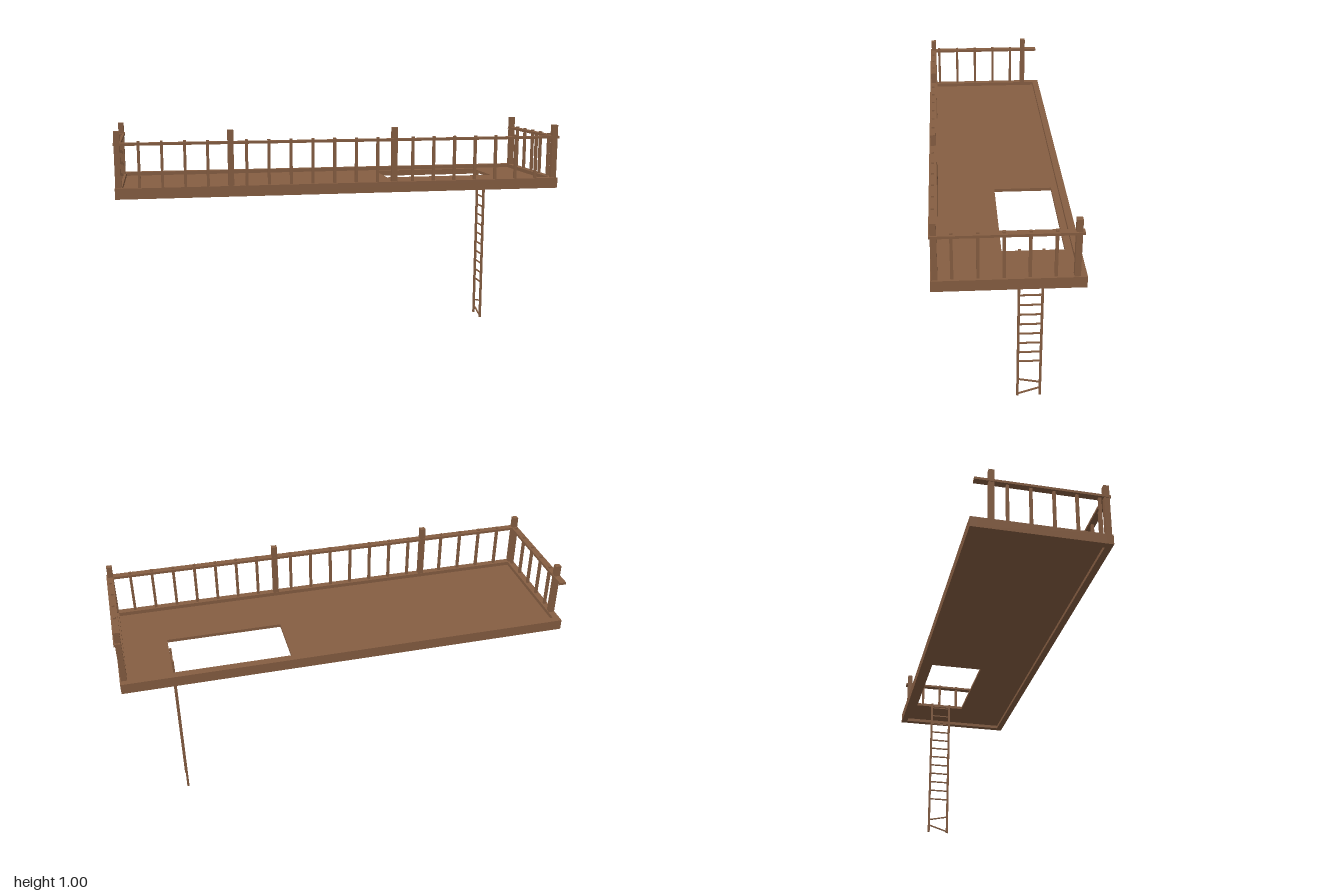
import * as THREE from 'three';

export function createModel() {
  const model = new THREE.Group();
  model.name = 'loftDeck';
  const wood = new THREE.MeshStandardMaterial({ color: 0x865e42 });
  wood.name = 'brown wood';

  const group = (name) => {
    const g = new THREE.Group();
    g.name = name;
    model.add(g);
    return g;
  };
  // Box given by its lower and upper bounds on each axis
  const box = (parent, name, [x0, x1], [y0, y1], [z0, z1]) => {
    const mesh = new THREE.Mesh(new THREE.BoxGeometry(x1 - x0, y1 - y0, z1 - z0), wood);
    mesh.name = name;
    mesh.position.set((x0 + x1) / 2, (y0 + y1) / 2, (z0 + z1) / 2);
    parent.add(mesh);
    return mesh;
  };
  const around = (c, w) => [c - w / 2, c + w / 2];

  const W = 1, D = 0.295, T = 0.03;   // half width, half depth, board thickness
  const Y0 = 0.71, Y1 = 0.757;        // frame bottom and top

  // Frame boards around the deck
  const frame = group('frame');
  box(frame, 'frontBoard', [-W, W], [Y0, Y1], [D - T, D]);
  box(frame, 'backBoard', [-W, W], [Y0, Y1], [-D, -D + T]);
  for (const s of [-1, 1]) {
    box(frame, 'sideBoard', around(s * (W - T / 2), T), [Y0, Y1], [-D + T, D - T]);
  }

  // Floor with the hatch opening (shape y becomes -z)
  const rect = (path, x0, x1, z0, z1) =>
    path.moveTo(x0, -z0).lineTo(x0, -z1).lineTo(x1, -z1).lineTo(x1, -z0).closePath();
  const shape = new THREE.Shape();
  rect(shape, -W + T, W - T, -D + T, D - T);
  const hatch = new THREE.Path();
  rect(hatch, 0.257, 0.775, -0.237, 0.015);
  shape.holes.push(hatch);
  const floorGeometry = new THREE.ExtrudeGeometry(shape, { depth: 0.014, bevelEnabled: false });
  floorGeometry.rotateX(-Math.PI / 2);
  const floor = new THREE.Mesh(floorGeometry, wood);
  floor.name = 'floor';
  floor.position.y = 0.726;
  model.add(floor);

  // Railing posts
  const railing = group('railing');
  const posts = [[-0.985, 0.278], [-0.505, 0.278], [0.225, 0.278], [0.982, 0.278],
    [-0.985, -0.207], [0.982, -0.257]];
  for (const [x, z] of posts) {
    box(railing, 'post', around(x, 0.025), [Y1 - 0.02, 1], around(z, 0.024));
  }

  // Flat hand rails
  const railY = [0.939, 0.95];
  box(railing, 'frontRail', [-W, W], railY, [D - T, D]);
  for (const s of [-1, 1]) {
    box(railing, 'sideRail', around(s * (W - T / 2), T), railY, [-0.278, D - T]);
  }

  // Balusters in evenly spaced runs
  const baluster = (x, z) =>
    box(railing, 'baluster', around(x, 0.012), [Y1 - 0.01, 0.957], around(z, 0.012));
  const step = 0.0974;
  for (const [start, count] of [[-0.896, 4], [-0.436, 7], [0.31, 7]]) {
    for (let i = 0; i < count; i++) baluster(start + i * step, 0.28);
  }
  for (let i = 0; i < 5; i++) {
    baluster(-0.985, 0.25 - i * step);
    baluster(0.984, 0.213 - i * step);
  }

  // Ladder hanging from the edge of the hatch
  const ladder = group('ladder');
  const lx = 0.769, zA = -0.057, zB = -0.154;
  for (const z of [zA, zB]) {
    box(ladder, 'ladderRail', around(lx, 0.01), [0, 0.74], around(z, 0.01));
  }
  const rung = (yA, yB) => {
    const dy = yB - yA, dz = zB - zA;
    const mesh = box(ladder, 'rung', around(lx, 0.006), around((yA + yB) / 2, 0.006),
      around((zA + zB) / 2, Math.hypot(dy, dz)));
    mesh.rotation.x = Math.atan(-dy / dz);
  };
  for (let i = 0; i < 12; i++) rung(0.183 + i * 0.0484, 0.183 + i * 0.0484);
  // Two loose, slanted rungs at the foot
  rung(0.087, 0.067);
  rung(0.007, 0.038);

  return model;
}
